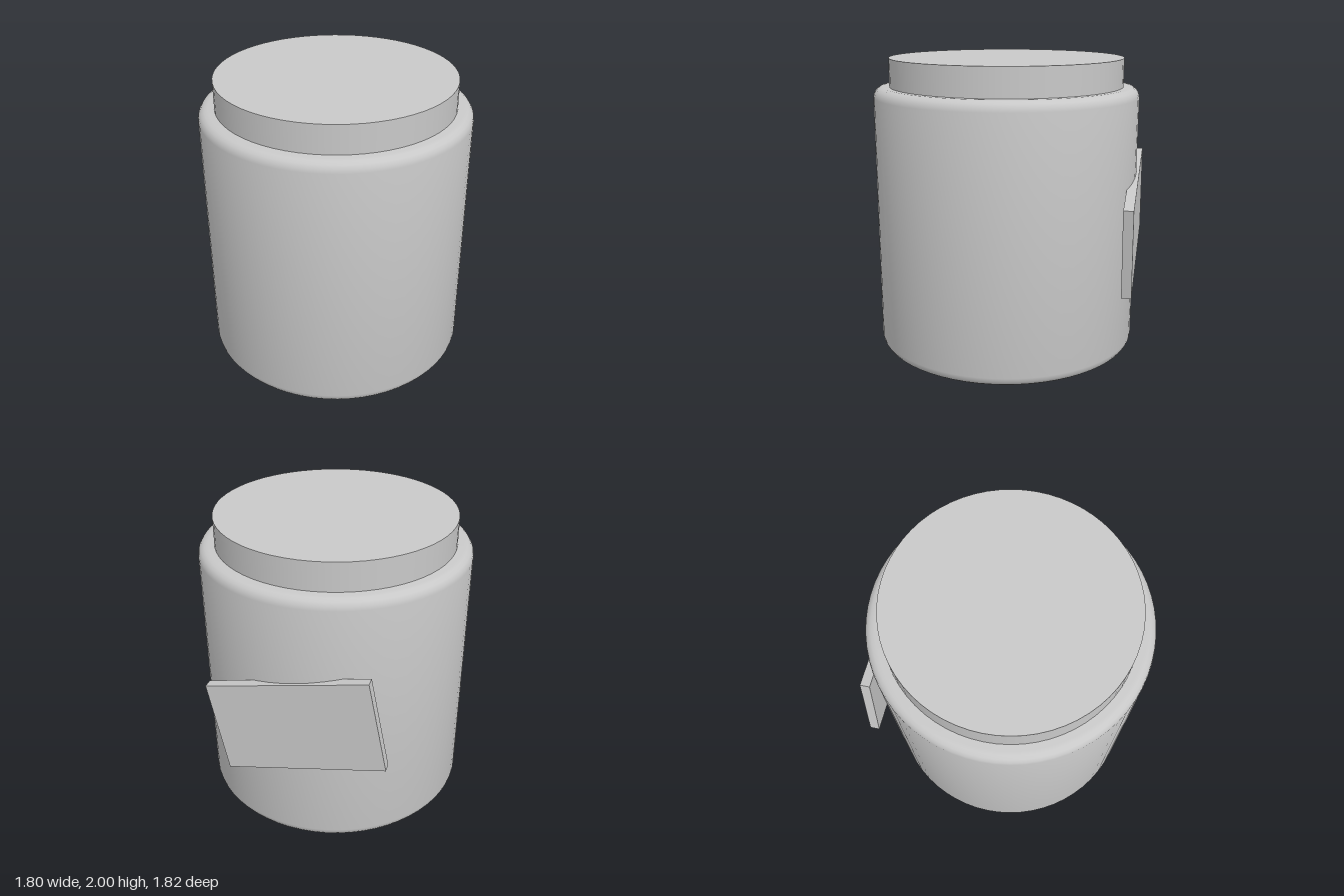
import * as THREE from 'three';
import { toCreasedNormals } from 'three/addons/utils/BufferGeometryUtils.js';

const RADIUS = 0.9;
const BODY_TOP = 1.81;
const BEVEL = 0.067;
const CENTRE_Z = 0.01;

export function createModel() {
  const group = new THREE.Group();
  group.name = 'jar';

  const grey = new THREE.MeshStandardMaterial({ color: 0xc8c8c8 });
  grey.name = 'plain grey';

  const add = (name, geometry, x, y, z) => {
    const mesh = new THREE.Mesh(geometry, grey);
    mesh.name = name;
    mesh.position.set(x, y, z);
    group.add(mesh);
    return mesh;
  };

  // Body: solid cylinder with rounded top and bottom rims
  const profile = [new THREE.Vector2(0, 0)];
  const addRim = (y, startAngle) => {
    for (let i = 0; i <= 4; i++) {
      const a = startAngle + (i / 4) * Math.PI / 2;
      profile.push(new THREE.Vector2(
        RADIUS - BEVEL + BEVEL * Math.cos(a),
        y + BEVEL * Math.sin(a)
      ));
    }
  };
  addRim(BEVEL, -Math.PI / 2);
  addRim(BODY_TOP - BEVEL, 0);
  profile.push(new THREE.Vector2(0, BODY_TOP));
  const bodyGeometry = toCreasedNormals(new THREE.LatheGeometry(profile, 64), 0.5);
  add('body', bodyGeometry, 0, 0, CENTRE_Z);

  // Lid: plain disc standing on the body
  const lidHeight = 2 - BODY_TOP;
  add('lid', new THREE.CylinderGeometry(0.793, 0.793, lidHeight, 64),
    0, BODY_TOP + lidHeight / 2, CENTRE_Z);

  // Label: tilted flat plate set into the back of the body
  const label = add('label', new THREE.BoxGeometry(1.065, 0.63, 0.066), 0, 0.91, -0.877);
  label.rotation.z = THREE.MathUtils.degToRad(-11);

  return group;
}
